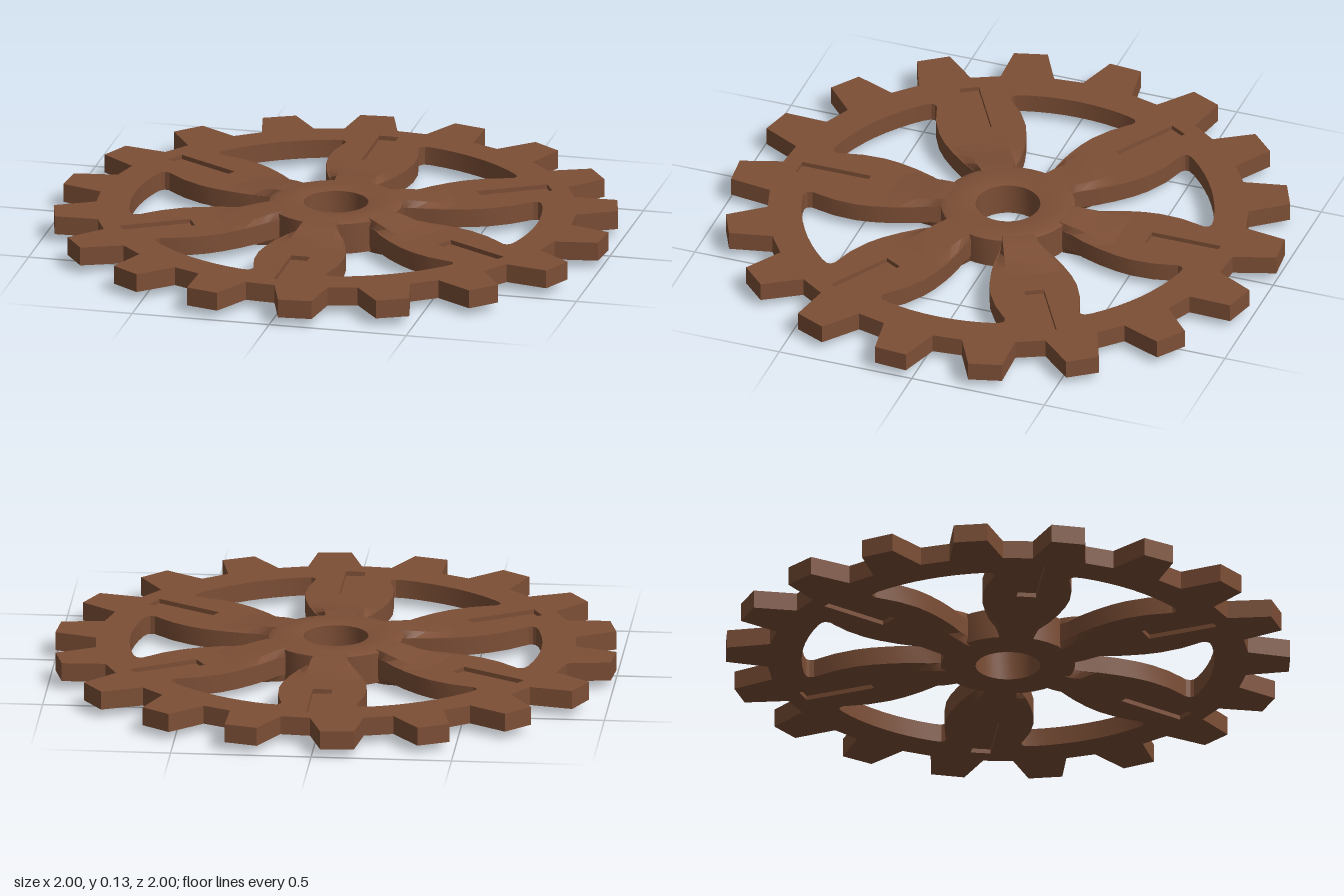
import * as THREE from 'three';
import { toCreasedNormals } from 'three/addons/utils/BufferGeometryUtils.js';

const RAD = Math.PI / 180;
const TEETH = 18, ARMS = 6;
const LOW = 0.03, HIGH = 0.097, MID = 0.0635; // plate levels and mid plane

// Half-width of an arm at distances from the centre: [distance, half-width]
const ARM_EDGE = [
  [0.225, 0.065], [0.27, 0.08], [0.32, 0.105], [0.39, 0.13], [0.46, 0.148], [0.52, 0.156],
  [0.6, 0.153], [0.66, 0.14], [0.69, 0.133], [0.706, 0.138], [0.713, 0.15],
];

const polar = (r, deg) => new THREE.Vector2(r * Math.cos(deg * RAD), r * Math.sin(deg * RAD));

// Point given along and across an arm direction
function armPoint(deg, along, across) {
  return new THREE.Vector2(along, across).rotateAround(new THREE.Vector2(), deg * RAD);
}

// Toothed plate with windows between the arms and slots along them
function plateGeometry() {
  const outline = [];
  for (let i = 0; i < TEETH; i++) {
    const a = -4.7 + i * 360 / TEETH;
    outline.push(polar(0.853, a - 6.4), polar(1.001, a - 3.45), polar(1.001, a + 3.45), polar(0.853, a + 6.4));
  }
  const shape = new THREE.Shape(outline);

  const centre = [];
  for (let i = 0; i < 32; i++) centre.push(polar(0.18, i * 360 / 32));
  shape.holes.push(new THREE.Path(centre));

  for (let k = 0; k < ARMS; k++) {
    const mid = k * 60;
    const pts = ARM_EDGE.map(([d, w]) => armPoint(mid - 30, d, w));
    for (let a = -16; a <= 16; a += 4) pts.push(polar(0.732, mid + a));
    pts.push(...ARM_EDGE.map(([d, w]) => armPoint(mid + 30, d, -w)).reverse());
    pts.push(polar(0.225, mid));
    shape.holes.push(new THREE.Path(pts));

    const slot = [[0.53, -0.035], [0.79, -0.035], [0.79, 0.035], [0.53, 0.035]];
    shape.holes.push(new THREE.Path(slot.map(([d, w]) => armPoint(mid + 30, d, w))));
  }
  const geo = new THREE.ExtrudeGeometry(shape, { depth: HIGH - LOW, bevelEnabled: false });
  geo.rotateX(-Math.PI / 2);
  geo.translate(0, LOW, 0);
  return toCreasedNormals(geo, 0.5);
}

// Thick collar around the open bore
function hubGeometry() {
  const profile = [
    [0.115, 0.006], [0.15, 0], [0.215, 0], [0.238, 0.008], [0.238, 0.119],
    [0.215, 0.127], [0.15, 0.127], [0.115, 0.121], [0.115, 0.006],
  ].map(([x, y]) => new THREE.Vector2(x, y));
  return toCreasedNormals(new THREE.LatheGeometry(profile, 36), 0.5);
}

// Swelling of an arm towards the hub, raised above and below the plate
function armRootGeometry() {
  // distance, edge half-width, crest half-width, crest height from the mid plane
  const sections = [
    [0.2, 0.062, 0.055, 0.063], [0.24, 0.068, 0.06, 0.061], [0.27, 0.078, 0.065, 0.057],
    [0.32, 0.102, 0.07, 0.049], [0.38, 0.124, 0.075, 0.04], [0.44, 0.138, 0.08, 0.032],
  ];
  const edge = 0.032, pos = [], index = [], n = 8;
  sections.forEach(([d, w, c, h], i) => {
    const ring = [[-w, edge], [-c, h], [c, h], [w, edge], [w, -edge], [c, -h], [-c, -h], [-w, -edge]];
    ring.forEach(([z, y], j) => {
      pos.push(d, MID + y, z);
      if (i === sections.length - 1) return;
      const a = i * n + j, b = i * n + (j + 1) % n;
      index.push(a, b, a + n, b, b + n, a + n);
    });
  });
  const geo = new THREE.BufferGeometry();
  geo.setAttribute('position', new THREE.Float32BufferAttribute(pos, 3));
  geo.setIndex(index);
  return toCreasedNormals(geo, 0.4);
}

export function createModel() {
  const group = new THREE.Group();
  group.name = 'cogwheel';
  const wood = new THREE.MeshStandardMaterial({ color: 0x7d4f36 });
  wood.name = 'brown wood';

  const add = (name, geo, angle = 0) => {
    const mesh = new THREE.Mesh(geo, wood);
    mesh.name = name;
    mesh.rotation.y = angle;
    group.add(mesh);
  };

  add('toothedPlate', plateGeometry());
  add('hub', hubGeometry());

  const root = armRootGeometry();
  // Floor closing each slot, sunk below both faces
  const floor = new THREE.BoxGeometry(0.262, 0.035, 0.072).translate(0.66, MID, 0);
  for (let k = 0; k < ARMS; k++) {
    const angle = (30 + k * 60) * RAD;
    add('armRoot', root, angle);
    add('slotFloor', floor, angle);
  }
  return group;
}
